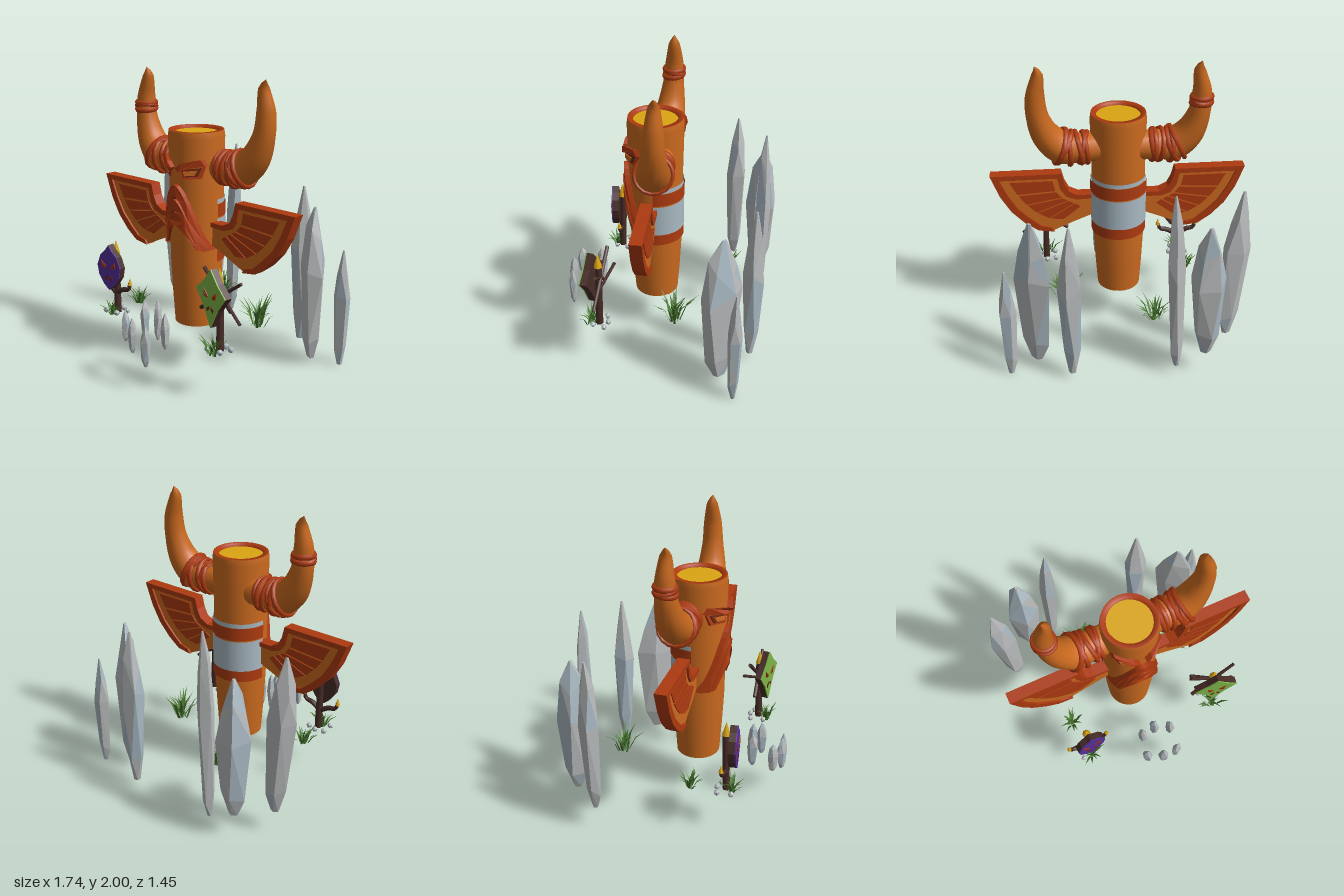
import * as THREE from 'three';
import { ConvexGeometry } from 'three/addons/geometries/ConvexGeometry.js';

const mat = (name, color, both) => {
  const m = new THREE.MeshStandardMaterial({ color });
  m.name = name;
  if (both) m.side = THREE.DoubleSide;
  return m;
};

export function createModel() {
  const root = new THREE.Group();
  root.name = 'carvedTotem';
  const wood = mat('orangeWood', 0xcb6a1f), red = mat('redWood', 0xad3a10, true);
  const dark = mat('darkRedWood', 0x6b2410), gold = mat('gold', 0xdba512);
  const stone = mat('greyStone', 0xb9bbbc), blueStone = mat('blueStone', 0xa9b9c3, true);
  const purple = mat('purplePaint', 0x56309a), green = mat('greenPaint', 0x7db548);
  const bark = mat('bark', 0x472c27), leaf = mat('grassGreen', 0x45752c, true);

  let seed = 7;
  const rnd = (a = 0, b = 1) => {
    seed = (seed * 16807) % 2147483647;
    return a + (b - a) * seed / 2147483647;
  };
  const V = (x, y, z) => new THREE.Vector3(x, y, z);
  const add = (name, geo, m, parent = root) => {
    const mesh = new THREE.Mesh(geo, m);
    mesh.name = name;
    parent.add(mesh);
    return mesh;
  };
  // Flat plate from an outline; s mirrors it in x
  const plate = (pts, z, depth, s = 1) => {
    const shape = new THREE.Shape(pts.map(([x, y]) => new THREE.Vector2(x * s, y)));
    return new THREE.ExtrudeGeometry(shape, { depth, bevelEnabled: false }).translate(0, 0, z);
  };
  // Tube with a radius for each control point
  const taper = (pts, radii, n = 24, sides = 12) => {
    const curve = new THREE.CatmullRomCurve3(pts);
    const geo = new THREE.TubeGeometry(curve, n, 1, sides), p = geo.attributes.position;
    for (let i = 0; i <= n; i++) {
      const c = curve.getPointAt(i / n), t = curve.getUtoTmapping(i / n) * (radii.length - 1);
      const k = Math.min(Math.floor(t), radii.length - 2);
      const r = THREE.MathUtils.lerp(radii[k], radii[k + 1], t - k);
      for (let j = 0; j <= sides; j++) {
        const q = i * (sides + 1) + j, v = V().fromBufferAttribute(p, q).sub(c).multiplyScalar(r).add(c);
        p.setXYZ(q, v.x, v.y, v.z);
      }
    }
    return geo;
  };
  const stick = (name, a, b, r, m = bark) => {
    const d = b.clone().sub(a);
    const mesh = add(name, new THREE.CylinderGeometry(r * 0.8, r, d.length(), 6), m);
    mesh.position.copy(a).addScaledVector(d, 0.5);
    mesh.quaternion.setFromUnitVectors(V(0, 1, 0), d.normalize());
  };

  // Totem trunk, hollow rim and gold top
  const CZ = 0.095;
  const lathe = (pts) => new THREE.LatheGeometry(pts.map(p => new THREE.Vector2(...p)), 28).translate(0, 0, CZ);
  add('trunk', lathe([[0.15, 0.3], [0.164, 0.5], [0.177, 0.75], [0.181, 1], [0.183, 1.3], [0.19, 1.6], [0.184, 1.64]]), wood);
  add('trunkBase', new THREE.CircleGeometry(0.15, 28).rotateX(Math.PI / 2).translate(0, 0.3, CZ), wood);
  add('trunkRim', lathe([[0.184, 1.64], [0.152, 1.64], [0.147, 1.61]]), red);
  add('trunkTop', new THREE.CircleGeometry(0.15, 28).rotateX(-Math.PI / 2).translate(0, 1.62, CZ), gold);

  // Bands around the back of the trunk
  for (const [y0, y1, r, m] of [[1.16, 1.19, 0.189, blueStone], [1.07, 1.16, 0.194, red],
    [0.84, 1.06, 0.191, blueStone], [0.76, 0.84, 0.189, red]])
    add('backBand', new THREE.CylinderGeometry(r, r, y1 - y0, 16, 1, true, Math.PI / 2, Math.PI)
      .translate(0, (y0 + y1) / 2, CZ), m);

  // Carvings wrapped onto the trunk front
  const carve = (name, pts, z, depth, m, s = 1) => {
    const geo = plate(pts, z, depth, s), p = geo.attributes.position;
    for (let i = 0; i < p.count; i++) {
      const x = p.getX(i);
      p.setZ(i, p.getZ(i) + CZ + Math.sqrt(Math.max(0, 0.034 - x * x)));
    }
    geo.computeVertexNormals();
    add(name, geo, m);
  };
  const arch = (w, top, bottom, wIn, topIn, bottomIn) => {
    const out = [], inn = [];
    for (let i = -8; i <= 8; i++) {
      const u = i / 8, f = Math.pow(Math.abs(u), 1.9);
      out.push([u * w, top - (top - bottom) * f]);
      inn.unshift([u * wIn, topIn - (topIn - bottomIn) * f]);
    }
    return [...out, ...inn];
  };
  carve('beakBacking', arch(0.178, 1.28, 0.86, 0.12, 1.03, 0.88), -0.03, 0.045, dark);
  carve('beakBrow', arch(0.182, 1.295, 0.85, 0.16, 1.215, 0.85), -0.02, 0.052, red);
  carve('beakRidge', arch(0.157, 1.2, 0.86, 0.14, 1.125, 0.87), -0.02, 0.06, red);
  carve('beakLip', arch(0.137, 1.112, 0.88, 0.118, 1.02, 0.9), -0.02, 0.048, red);
  for (const s of [-1, 1]) {
    carve('eyeSocket', [[0.03, 1.41], [0.168, 1.43], [0.15, 1.345], [0.055, 1.335]], -0.02, 0.035, red, s);
    carve('eyeHollow', [[0.05, 1.4], [0.155, 1.415], [0.138, 1.36], [0.065, 1.352]], 0.012, 0.008, dark, s);
    carve('eye', [[0.065, 1.39], [0.14, 1.4], [0.128, 1.367], [0.075, 1.362]], 0.018, 0.008, wood, s);
    carve('eyebrow', [[0.02, 1.41], [0.06, 1.445], [0.16, 1.47], [0.173, 1.425], [0.09, 1.41], [0.04, 1.385]], -0.02, 0.06, red, s);
  }

  // Horns with rope wraps
  const hornPts = [[0.13, 1.41, 0.06], [0.25, 1.41, 0.06], [0.38, 1.42, 0.06], [0.47, 1.5, 0.05],
    [0.53, 1.65, 0.04], [0.54, 1.8, 0.035], [0.52, 1.95, 0.035], [0.535, 2, 0.035]];
  const hornR = [0.1, 0.1, 0.115, 0.1, 0.074, 0.063, 0.036, 0];
  for (const s of [-1, 1]) {
    const pts = hornPts.map(([x, y, z]) => V(x * s, y, z)), curve = new THREE.CatmullRomCurve3(pts);
    add('horn', taper(pts, hornR, 30, 16), wood);
    const wraps = [[0.8, 0.12, 0.108], [0.9, -0.2, 0.108], [1.15, 0.15, 0.112], [1.65, 0.12, 0.118], [1.85, -0.2, 0.12], [2.1, 0.1, 0.122]];
    if (s < 0) wraps.push([4.42, 0.15, 0.07], [4.55, -0.15, 0.069], [4.7, 0.05, 0.068]);
    for (const [k, tilt, r] of wraps) {
      const t = k / 7;
      const ring = add('hornWrap', new THREE.TorusGeometry(r, 0.014, 6, 16).scale(1, 1, 1.3), red);
      ring.position.copy(curve.getPoint(t));
      ring.quaternion.setFromUnitVectors(V(0, 0, 1), curve.getTangent(t));
      ring.rotateX(tilt);
      ring.rotateY(tilt * 0.8);
    }
  }

  // Wings: orange panel, red frame and raised feathers
  const panel = [[0.4, 1.2], [0.86, 1.2], [0.79, 1.03], [0.72, 0.92], [0.63, 0.83], [0.55, 0.775], [0.45, 0.76],
    [0.32, 0.82], [0.15, 0.89], [0.15, 1.03], [0.28, 1.03], [0.34, 1.06], [0.38, 1.12]];
  const frame = [[0.39, 1.21], [0.87, 1.21], [0.81, 1.05], [0.74, 0.93], [0.65, 0.835], [0.56, 0.77], [0.45, 0.755],
    [0.47, 0.785], [0.54, 0.805], [0.61, 0.865], [0.695, 0.95], [0.76, 1.06], [0.81, 1.175], [0.42, 1.175],
    [0.4, 1.09], [0.36, 1.03], [0.29, 1.005], [0.15, 1.01], [0.15, 1.04], [0.28, 1.04], [0.34, 1.07], [0.37, 1.13]];
  const tips = [[0.77, 1.16], [0.71, 1.05], [0.65, 0.97], [0.58, 0.9], [0.49, 0.85], [0.39, 0.84]];
  const roots = [[0.43, 1.16], [0.41, 1.07], [0.37, 1.02], [0.33, 1.0], [0.29, 0.98], [0.25, 0.95]];
  for (const s of [-1, 1]) {
    add('wingPanel', plate(panel, 0.08, 0.05, s), wood);
    add('wingFrame', plate(frame, 0.065, 0.08, s), red);
    for (let i = 0; i < 5; i++) {
      const quad = [roots[i], tips[i], tips[i + 1], roots[i + 1]];
      const c = [0, 1].map(a => quad.reduce((n, p) => n + p[a] / 4, 0));
      const shrunk = quad.map(p => p.map((v, a) => c[a] + (v - c[a]) * 0.86));
      add('wingFeather', plate(shrunk, 0.073, 0.064, s), red);
    }
  }

  // Painted masks on posts
  const mask = (name, x, y, turn, outline, paint) => {
    const g = new THREE.Group();
    g.name = name;
    g.position.set(x, y, 0.44);
    g.rotation.y = turn;
    root.add(g);
    add('maskBoard', plate(outline, 0, 0.045), bark, g);
    add('maskPaint', plate(outline, 0.045, 0.008), paint, g);
    for (const s of [-1, 1]) {
      add('maskEye', plate([[0.02, 0.01], [0.065, 0.05], [0.06, 0.005], [0.035, -0.005]], 0.05, 0.008, s), red, g);
      add('maskPupil', plate([[0.035, 0.008], [0.055, 0.025], [0.052, 0.006]], 0.056, 0.005, s), dark, g);
      add('maskMouth', plate([[0.005, -0.055], [0.035, -0.07], [0.03, -0.095], [0.012, -0.08]], 0.05, 0.006, s), dark, g);
    }
    stick('maskPost', V(x + 0.01, 0.32, 0.42), V(x, y + 0.1, 0.41), 0.026);
    add('postFlame', new THREE.ConeGeometry(0.03, 0.1, 7).translate(x, y + 0.135, 0.415), gold);
  };
  const leafSide = [[0.03, 0.125], [0.075, 0.085], [0.105, 0.01], [0.092, -0.06], [0.05, -0.12]];
  const flip = pts => pts.map(([x, y]) => [-x, y]).reverse();
  mask('purpleMask', -0.47, 0.66, 0.1, [[0, 0.165], ...leafSide, [0, -0.16], ...flip(leafSide)], purple);
  const kite = [[0.07, 0.1], [0.15, 0.03], [0.07, -0.07]];
  mask('greenMask', 0.505, 0.69, -0.18, [[0, 0.185], ...kite, [0, -0.2], ...flip(kite)], green);
  stick('crossStick', V(0.34, 0.83, 0.38), V(0.68, 0.54, 0.42), 0.014);
  stick('crossStick', V(0.35, 0.57, 0.42), V(0.67, 0.8, 0.4), 0.014);
  stick('crossStick', V(0.37, 0.72, 0.33), V(0.6, 0.6, 0.42), 0.011);
  for (const s of [-1, 1]) {
    const at = (dx, y) => V(-0.47 + s * dx, y, 0.42);
    add('maskArm', taper([at(0, 0.46), at(0.07, 0.5), at(0.125, 0.515), at(0.14, 0.56)], [0.02, 0.018, 0.015, 0.012], 10, 6), bark);
    add('armFlame', new THREE.ConeGeometry(0.017, 0.055, 6).translate(-0.47 + s * 0.142, 0.575, 0.42), gold);
  }

  // Faceted stones, some faces in a bluer grey
  const rock = (name, x, z, y0, y1, rx, rz, a = 0, lean = 0) => {
    const pts = [];
    for (const [t, k] of [[0, 0.3], [0.13, 0.72], [0.58, 1], [0.82, 0.68], [1, 0.1]]) {
      const phase = rnd(0, 1);
      for (let i = 0; i < 5; i++) {
        const w = phase + i * Math.PI * 0.4, u = Math.cos(w) * rx * k, v = Math.sin(w) * rz * k;
        const rise = t > 0 && t < 1 ? rnd(-0.06, 0.06) : 0;
        pts.push(V(x + u * Math.cos(a) - v * Math.sin(a) + lean * (t - 0.5),
          y0 + (y1 - y0) * (t + rise), z + u * Math.sin(a) + v * Math.cos(a)));
      }
    }
    const geo = new ConvexGeometry(pts);
    for (let i = 0; i < geo.attributes.position.count; i += 3) geo.addGroup(i, 3, rnd() < 0.25 ? 1 : 0);
    add(name, geo, [stone, blueStone]);
  };
  rock('tallStone', -0.73, -0.42, 0.17, 1.29, 0.1, 0.07, -0.3, -0.06);
  rock('tallStone', -0.52, -0.62, 0.18, 1.15, 0.12, 0.115);
  rock('tallStone', -0.305, -0.63, 0.08, 1.4, 0.06, 0.055, 0, 0.04);
  rock('tallStone', 0.375, -0.6, 0.05, 1.19, 0.085, 0.075);
  rock('tallStone', 0.615, -0.41, 0.04, 1.12, 0.165, 0.085, 0.85);
  rock('tallStone', 0.79, -0.51, 0, 0.83, 0.062, 0.05);
  for (const [x, z, y0, y1] of [[-0.08, 0.51, 0.28, 0.52], [0.02, 0.49, 0.27, 0.55], [0.13, 0.53, 0.25, 0.5],
    [-0.11, 0.66, 0.28, 0.49], [0, 0.7, 0.24, 0.48], [0.11, 0.69, 0.17, 0.45]])
    rock('smallStone', x, z, y0, y1, 0.04, 0.03, rnd(0, 3));
  for (const x of [-0.47, 0.51])
    for (const [dx, z] of [[-0.065, 0.375], [0, 0.36], [0.06, 0.38], [-0.06, 0.47], [0.04, 0.46]])
      rock('pebble', x + dx, z, 0.31, 0.35, 0.023, 0.02);

  // Grass tufts made of bent blades
  const tuft = (x, z, radius, height, count) => {
    const pos = [];
    for (let i = 0; i < count; i++) {
      const a = rnd(0, 6.283), reach = radius * rnd(0.3, 1), h = height * rnd(0.5, 1), o = radius * rnd(-0.3, 0.4);
      const c = Math.cos(a), s = Math.sin(a), w = 0.007;
      const at = (r, y, side) => [x + c * r - s * side, 0.31 + y, z + s * r + c * side];
      const [p, q, m, n] = [at(o, 0, -w), at(o, 0, w), at(o + reach * 0.4, h * 0.65, -w), at(o + reach * 0.4, h * 0.65, w)];
      pos.push(...p, ...q, ...m, ...q, ...n, ...m, ...m, ...n, ...at(o + reach, h, 0));
    }
    const geo = new THREE.BufferGeometry();
    geo.setAttribute('position', new THREE.Float32BufferAttribute(pos, 3));
    geo.computeVertexNormals();
    add('grassTuft', geo, leaf);
  };
  tuft(-0.2, -0.4, 0.12, 0.16, 34);
  tuft(0.41, -0.08, 0.13, 0.2, 34);
  tuft(-0.5, 0.18, 0.085, 0.12, 24);
  tuft(-0.47, 0.46, 0.09, 0.12, 24);
  tuft(0.51, 0.48, 0.1, 0.13, 26);
  return root;
}
